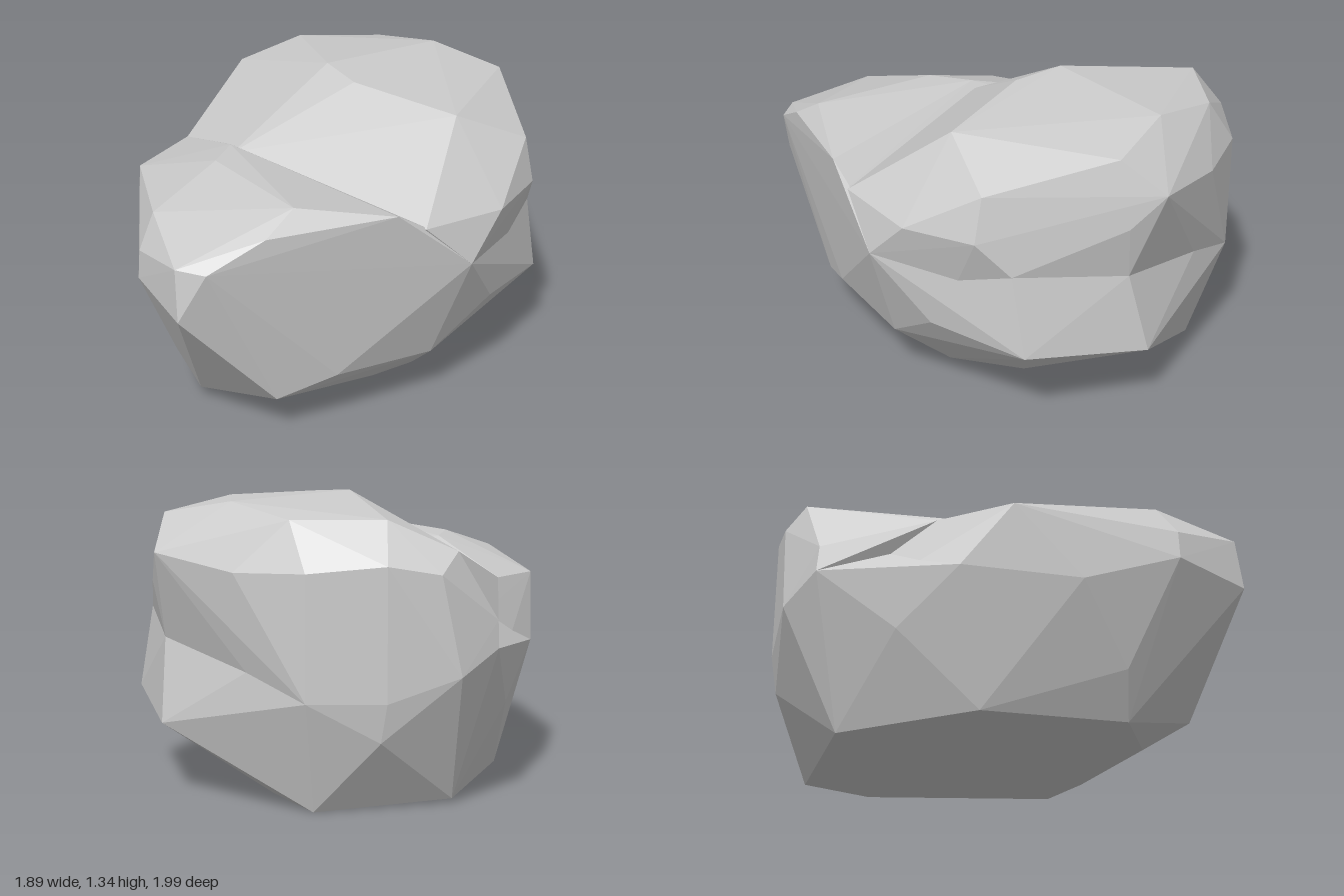
import * as THREE from 'three';
import { ConvexGeometry } from 'three/addons/geometries/ConvexGeometry.js';

const stone = new THREE.MeshStandardMaterial({ color: 0xcccccc, flatShading: true });

// One angular chunk of the boulder, spanned by its corner points
function chunk(name, corners) {
  const geometry = new ConvexGeometry(corners.map((c) => new THREE.Vector3(...c)));
  const mesh = new THREE.Mesh(geometry, stone);
  mesh.name = name;
  return mesh;
}

export function createModel() {
  const boulder = new THREE.Group();
  boulder.name = 'boulder';

  // Corners shared by chunks
  const frontShoulder = [0.47, 0.74, 0.78];
  const backSaddle = [-0.63, 0.94, -0.38];
  const backHollow = [-0.5, 0.82, -0.6];
  const sideHollow = [[0.88, 0.77, 0.25], [0.87, 0.7, -0.27], [0.7, 0.7, -0.48]];
  const leftFoot = [[-0.69, 0.05, 0.45], [-0.79, 0.25, 0.42]];
  const frontFoot = [[-0.4, 0.2, 0.85], [-0.13, 0.28, 0.83]];
  const leftWaist = [[-0.62, 0.65, -0.56], [-0.81, 0.64, -0.32], [-0.9, 0.6, 0.2]];
  const backWaist = [[-0.48, 0.7, -0.88], [-0.29, 0.6, -0.99], [0.03, 0.5, -0.99],
    [0.36, 0.5, -0.92], [0.57, 0.6, -0.68]];

  // High crown, sloping into the cleft in front
  boulder.add(chunk('crown', [
    [-0.47, 1.05, 0.1], [0.25, 0.95, 0.83],
    frontShoulder, backSaddle, backHollow, ...sideHollow, ...backWaist,
    [0.02, 1.335, -0.2], [0.1, 1.32, 0.03], [0.48, 1.28, 0.41],
    [0.6, 1.31, -0.48], [0.86, 1.25, -0.22], [0.82, 1.13, 0.36],
    [0.925, 1.09, -0.41], [0.92, 0.95, -0.25], [0.85, 0.93, 0.4], [0.63, 0.93, 0.66],
    [0.4, 1.25, -0.78], [0, 1.25, -0.85], [-0.29, 1.12, -0.91],
    [-0.2, 1.03, -0.99], [0.03, 1.07, -0.99], [0.36, 1.04, -0.92], [0.63, 1.03, -0.72],
    [-0.48, 0.82, -0.87], [-0.3, 0.3, 0.2], [0.6, 0.45, 0.5],
  ]));

  // Lower lobe leaning out to the front, its lip along the cleft
  boulder.add(chunk('frontLobe', [
    [-0.48, 1.09, 0.1], [0.24, 0.96, 0.82],
    frontShoulder, backSaddle, backHollow, ...leftFoot, ...frontFoot, ...leftWaist,
    [-0.57, 1.1, 0.29], [-0.41, 1.11, 0.6], [-0.32, 1.12, 0.87], [0.12, 1.04, 0.87],
    [-0.45, 1.03, 0.96], [-0.7, 0.91, 1], [-0.82, 0.69, 0.97], [-0.82, 0.92, 0.94],
    [-0.87, 1, 0.55], [-0.94, 0.86, 0.62], [-0.95, 0.73, 0.62], [-0.88, 0.93, -0.1],
  ]));

  // Base with a flat underside and a spur on the side
  boulder.add(chunk('base', [
    ...leftFoot, ...frontFoot, frontShoulder, backHollow, ...sideHollow, ...leftWaist, ...backWaist,
    [0.31, 0.04, 0.4], [0.42, 0.01, -0.45], [0.3, 0, -0.77], [-0.32, 0.02, -0.74],
    [-0.68, 0.04, -0.2], [-0.35, 0.07, 0.64], [0.1, 0.05, 0.5],
    [0.33, 0.25, 0.66], [0.63, 0.45, 0.55], [0.63, 0.14, 0.13],
    [0.945, 0.4, 0.21], [0.9, 0.33, -0.36], [0.6, 0.2, -0.56],
    [0.05, 0.33, -0.96], [-0.62, 0.4, -0.55],
  ]));

  return boulder;
}
